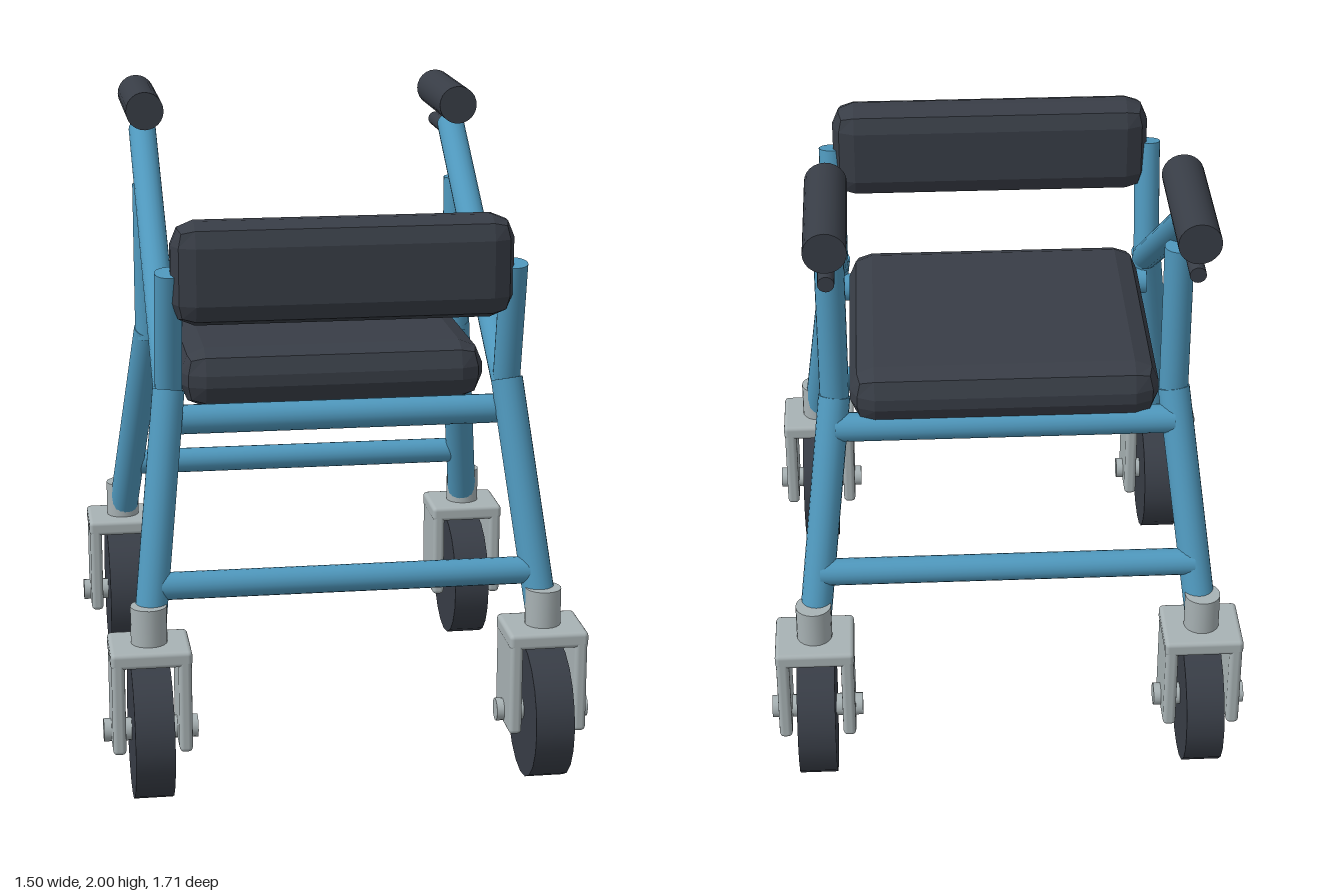
import * as THREE from 'three';
import { RoundedBoxGeometry } from 'three/addons/geometries/RoundedBoxGeometry.js';

export function createModel() {
  const paint = (name, color) => {
    const m = new THREE.MeshStandardMaterial({ color });
    m.name = name;
    return m;
  };
  const blue = paint('blueFrame', 0x4f98bd);
  const dark = paint('darkRubber', 0x383d46);
  const grey = paint('lightMetal', 0xa8b2b4);

  const model = new THREE.Group();
  model.name = 'rollingWalker';

  const add = (parent, name, geometry, material, x = 0, y = 0, z = 0) => {
    const mesh = new THREE.Mesh(geometry, material);
    mesh.name = name;
    mesh.position.set(x, y, z);
    parent.add(mesh);
    return mesh;
  };

  // Straight round bar between two points
  const bar = (parent, name, from, to, radius, material, sides = 20) => {
    const a = new THREE.Vector3(...from), b = new THREE.Vector3(...to);
    const dir = b.clone().sub(a);
    const mesh = add(parent, name, new THREE.CylinderGeometry(radius, radius, dir.length(), sides), material);
    mesh.position.copy(a).add(b).multiplyScalar(0.5);
    mesh.quaternion.setFromUnitVectors(new THREE.Vector3(0, 1, 0), dir.normalize());
    return mesh;
  };

  // Faceted cushion with broad two-step bevels
  const cushion = (name, w, h, d, r, x, y, z) => {
    const g = new RoundedBoxGeometry(w, h, d, 1, r);
    g.computeVertexNormals();
    return add(model, name, g, dark, x, y, z);
  };
  cushion('seat', 0.945, 0.187, 0.845, 0.075, 0, 1.217, -0.047);
  cushion('backrest', 1.03, 0.313, 0.17, 0.07, 0, 1.593, 0.522);

  const tube = 0.045, frameX = 0.52, wheelX = 0.605, wheelZ = 0.645, wheelR = 0.212;

  // Cross bars
  const cross = (name, halfWidth, y, z, r) =>
    bar(model, name, [-halfWidth, y, z], [halfWidth, y, z], r, blue);
  cross('frontSeatBar', 0.52, 1.12, 0.43, tube);
  cross('rearSeatBar', 0.52, 1.12, -0.43, tube);
  cross('frontLowerBar', 0.58, 0.65, 0.605, 0.042);
  cross('rearLowerBar', 0.58, 0.69, -0.588, 0.042);

  for (const side of [-1, 1]) {
    const name = side > 0 ? 'left' : 'right';
    const x = side * frameX;

    // Side frame
    const frame = new THREE.Group();
    frame.name = name + 'SideFrame';
    model.add(frame);
    bar(frame, 'frontLeg', [x, 1.22, 0.45], [side * wheelX, 0.5, wheelZ], 0.049, blue);
    bar(frame, 'rearLeg', [x, 1.21, -0.39], [side * wheelX, 0.5, -wheelZ], 0.049, blue);
    bar(frame, 'rearUpright', [x, 1.18, -0.388], [x, 1.7, -0.388], tube, blue);
    bar(frame, 'backrestPost', [x, 1.2, 0.44], [x, 1.595, 0.522], 0.042, blue);
    bar(frame, 'handleTube', [x, 1.2, 0.45], [x, 1.862, -0.52], tube, blue);

    // Handle with brake lever
    bar(frame, 'handGrip', [x, 1.939, -0.385], [x, 1.939, -0.815], 0.062, dark, 24);
    bar(frame, 'brakeLever', [x, 1.833, -0.49], [x, 1.833, -0.8], 0.024, dark, 16);

    // Casters
    for (const end of [-1, 1]) {
      const caster = new THREE.Group();
      caster.name = name + (end > 0 ? 'Front' : 'Rear') + 'Caster';
      caster.position.set(side * wheelX, 0, end * wheelZ);
      model.add(caster);
      bar(caster, 'wheel', [-0.059, wheelR, 0], [0.059, wheelR, 0], wheelR, dark, 20);
      bar(caster, 'axle', [-0.143, wheelR, 0], [0.143, wheelR, 0], 0.035, grey, 16);
      bar(caster, 'stem', [0, 0.47, 0], [0, 0.605, 0], 0.055, grey);
      add(caster, 'forkCrown', new RoundedBoxGeometry(0.245, 0.05, 0.212, 2, 0.014), grey, 0, 0.465, 0);
      for (const s of [-1, 1]) {
        add(caster, 'forkPlate', new RoundedBoxGeometry(0.04, 0.315, 0.212, 2, 0.014), grey, s * 0.1, 0.325, 0);
      }
    }
  }
  return model;
}
